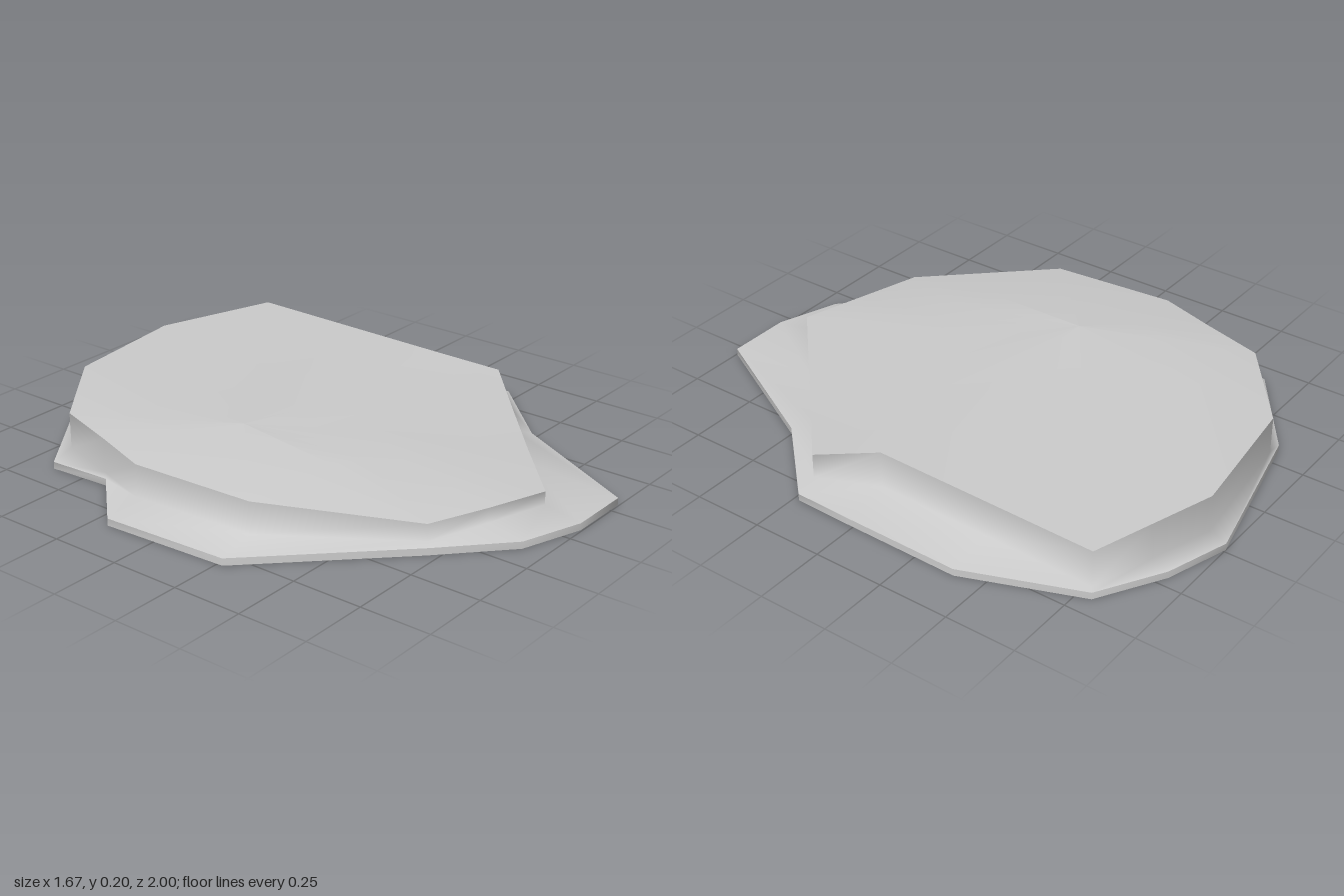
import * as THREE from 'three';

// Outline stations, clockwise from the back:
// base x, base z, rim x, rim height, rim z, height halfway to the crown
const stations = [
  [0.24, -1.0, 0.24, 0.18, -0.94, 0.186],
  [0.46, -0.93, 0.46, 0.18, -0.87, 0.186],
  [0.68, -0.8, 0.68, 0.18, -0.8, 0.186],
  [0.835, -0.4, 0.67, 0.18, -0.4, 0.188],
  [0.83, 0.02, 0.66, 0.18, 0.02, 0.188],
  [0.825, 0.23, 0.75, 0.135, 0.23, 0.184],
  [0.56, 0.5, 0.5, 0.115, 0.46, 0.178],
  [0.3, 0.995, 0.3, 0.098, 0.647, 0.17],
  [0.07, 0.995, 0.07, 0.095, 0.86, 0.165],
  [-0.15, 0.92, -0.15, 0.1, 0.79, 0.172],
  [-0.37, 0.715, -0.37, 0.108, 0.715, 0.182],
  [-0.81, 0.27, -0.67, 0.16, 0.26, 0.187],
  [-0.835, -0.19, -0.7, 0.165, -0.19, 0.187],
  [-0.63, -0.4, -0.63, 0.17, -0.4, 0.19],
  [-0.645, -0.63, -0.56, 0.175, -0.63, 0.19],
  [-0.32, -0.87, -0.24, 0.18, -0.88, 0.188],
];
const crown = [-0.31, 0.205, -0.07];

// Skin through a stack of closed rings with smooth normals
function loft(name, rings, material) {
  const n = stations.length;
  const index = [];
  for (let r = 0; r < rings.length - 1; r++) {
    for (let i = 0; i < n; i++) {
      const j = (i + 1) % n;
      const a = r * n, b = a + n;
      index.push(a + j, a + i, b + i, a + j, b + i, b + j);
    }
  }
  const geometry = new THREE.BufferGeometry();
  geometry.setAttribute('position', new THREE.Float32BufferAttribute(rings.flat(2), 3));
  geometry.setIndex(index);
  geometry.computeVertexNormals();
  const mesh = new THREE.Mesh(geometry, material);
  mesh.name = name;
  return mesh;
}

export function createModel() {
  const group = new THREE.Group();
  group.name = 'flatRock';
  const material = new THREE.MeshStandardMaterial({ color: 0xcccccc });

  const base = (y) => stations.map(([x, z]) => [x, y, z]);
  const foot = stations.map((s) => [s[2], 0.048, s[4]]);
  const rim = stations.map((s) => [s[2], s[3], s[4]]);
  const shoulder = stations.map((s) => [(s[2] + crown[0]) / 2, s[5], (s[4] + crown[2]) / 2]);
  const point = (p) => stations.map(() => p);

  group.add(
    loft('underside', [point([0, 0, 0]), base(0)], material),
    loft('baseEdge', [base(0), base(0.025)], material),
    loft('skirtAndWall', [base(0.025), foot, rim], material),
    loft('topSurface', [rim, shoulder, point(crown)], material),
  );
  return group;
}
